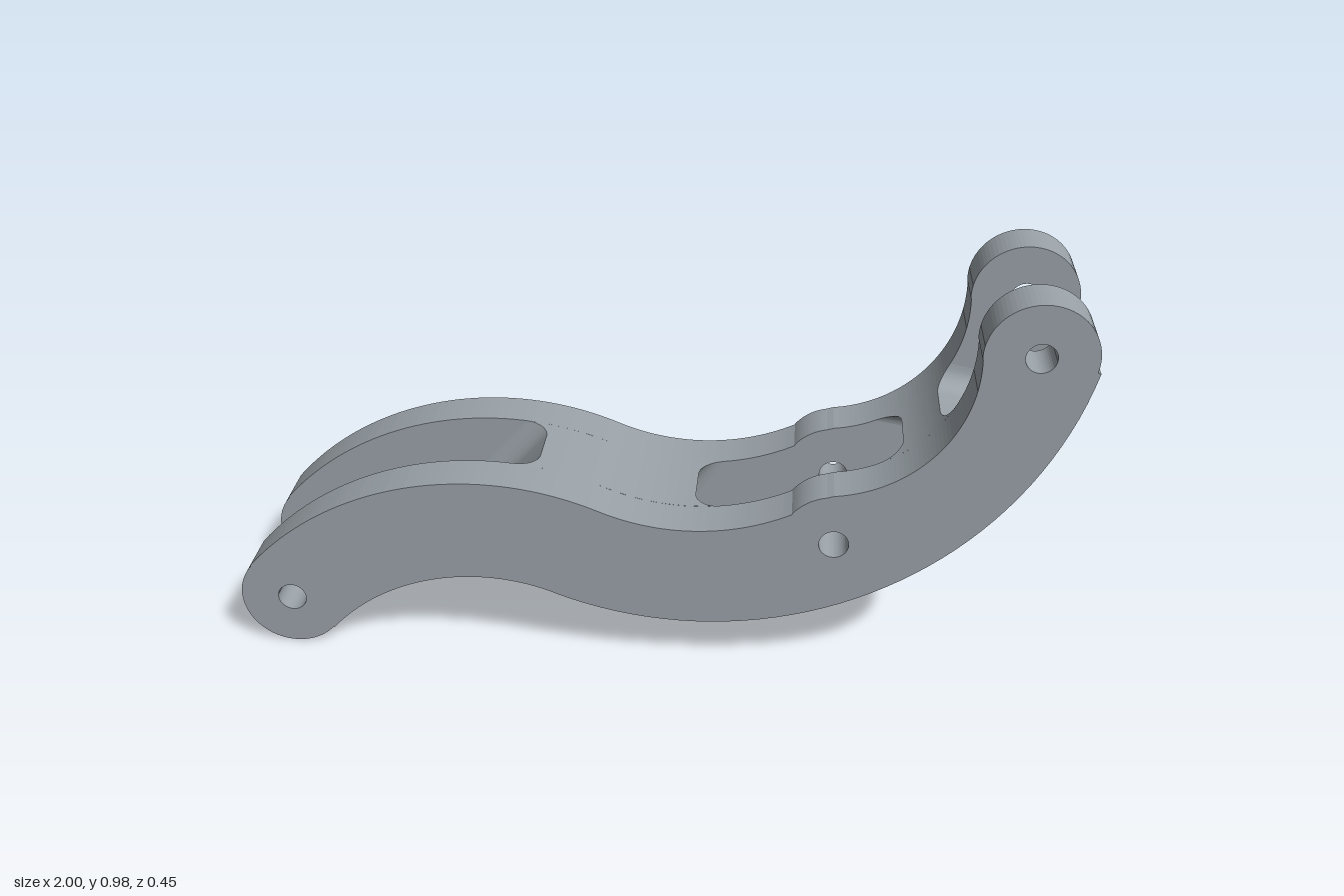
import * as THREE from 'three';
import { toCreasedNormals } from 'three/addons/utils/BufferGeometryUtils.js';

const INNER = 0.11, OUTER = 0.225; // z of the inner and outer plate faces
const rad = THREE.MathUtils.degToRad;

// arcs of the S-shaped outline: centre x, centre y, radius
const hillTop = [-0.4, -0.281, 0.756];
const hillUnder = [-0.4, -0.281, 0.497];
const valley = [0.1, 0.918, 0.543];
const belly = [0.11, 1.035, 0.915];
const crook = [0.4, 0.83, 0.345];
const leftEye = [-0.873, 0.13, 0.127];
const rightEye = [0.87, 0.857, 0.127];
const boss = [0.445, 0.357, 0.127];

const above = ([cx, cy, r], x) => cy + Math.sqrt(r * r - (x - cx) ** 2);
const below = ([cx, cy, r], x) => cy - Math.sqrt(r * r - (x - cx) ** 2);
const upperY = (x) => (x < -0.109 ? above(hillTop, x) : x < 0.4 ? below(valley, x) : below(crook, x));
const lowerY = (x) => (x < -0.219 ? above(hillUnder, x) : below(belly, x));

function plateGeometry() {
  const shape = new THREE.Shape();
  const arc = (c, from, to, clockwise) => shape.absarc(...c, rad(from), rad(to), clockwise);
  arc(hillTop, 139, 67.4, true);
  arc(valley, 247.4, 296.8, false);
  arc(boss, 142.4, 100, true);
  arc(crook, -83.4, 3.3, false);
  arc(rightEye, 183.3, -13.2, true);
  arc(belly, -13.2, -111.2, true);
  arc(hillUnder, 68.8, 139, false);
  arc(leftEye, 319, 139, true);
  // pin holes
  for (const [x, y] of [leftEye, rightEye, boss]) {
    const hole = new THREE.Path();
    hole.absarc(x, y, 0.035, 0, Math.PI * 2, false);
    shape.holes.push(hole);
  }
  return new THREE.ExtrudeGeometry(shape, { depth: OUTER - INNER, bevelEnabled: false, curveSegments: 20 });
}

// Solid web between the plates. Each end wall is a slanted line given by its
// upper and lower x; "flare" is how far each x spreads where it meets the plates.
function webGeometry({ left, leftFlare, right, rightFlare }) {
  const N = 14, STEPS = 7, FILLET = 0.06;
  const slices = [];
  for (let i = 0; i <= STEPS; i++) {
    const a = (i / STEPS) * Math.PI / 2;
    slices.push([INNER - FILLET + FILLET * Math.sin(a), 1 - Math.cos(a)]);
  }
  const all = [...slices.map(([z, f]) => [-z, f]).reverse(), ...slices];
  const ringSize = 2 * (N + 1);
  const positions = [], index = [];
  for (const [z, f] of all) {
    const l = left.map((x, k) => x + f * leftFlare[k]);
    const r = right.map((x, k) => x + f * rightFlare[k]);
    for (let i = 0; i <= N; i++) {
      const x = THREE.MathUtils.lerp(l[0], r[0], i / N);
      positions.push(x, upperY(x), z);
    }
    for (let i = 0; i <= N; i++) {
      const x = THREE.MathUtils.lerp(r[1], l[1], i / N);
      positions.push(x, lowerY(x), z);
    }
  }
  for (let s = 0; s < all.length - 1; s++) {
    for (let i = 0; i < ringSize; i++) {
      const a = s * ringSize + i, b = s * ringSize + (i + 1) % ringSize;
      const c = a + ringSize, d = b + ringSize;
      index.push(a, c, b, b, c, d);
    }
  }
  const geometry = new THREE.BufferGeometry();
  geometry.setAttribute('position', new THREE.Float32BufferAttribute(positions, 3));
  geometry.setIndex(index);
  return toCreasedNormals(geometry, 0.45);
}

export function createModel() {
  const group = new THREE.Group();
  group.name = 'curvedLever';
  const metal = new THREE.MeshStandardMaterial({ color: 0x9aa2a8 });
  metal.name = 'greyMetal';
  const add = (geometry, name, z = 0) => {
    const mesh = new THREE.Mesh(geometry, metal);
    mesh.name = name;
    mesh.position.z = z;
    group.add(mesh);
  };

  // side plates
  const plate = plateGeometry();
  add(plate, 'frontPlate', INNER);
  add(plate, 'backPlate', -OUTER);

  // slanted web between the left fork and the middle slot
  add(webGeometry({
    left: [-0.27, -0.5], leftFlare: [-0.06, -0.1],
    right: [0.11, -0.1], rightFlare: [0.06, 0.1],
  }), 'middleWeb');

  // narrow web between the middle slot and the right fork
  add(webGeometry({
    left: [0.6, 0.869], leftFlare: [-0.06, -0.045],
    right: [0.68, 0.905], rightFlare: [0.03, 0.025],
  }), 'upperWeb');

  return group;
}
